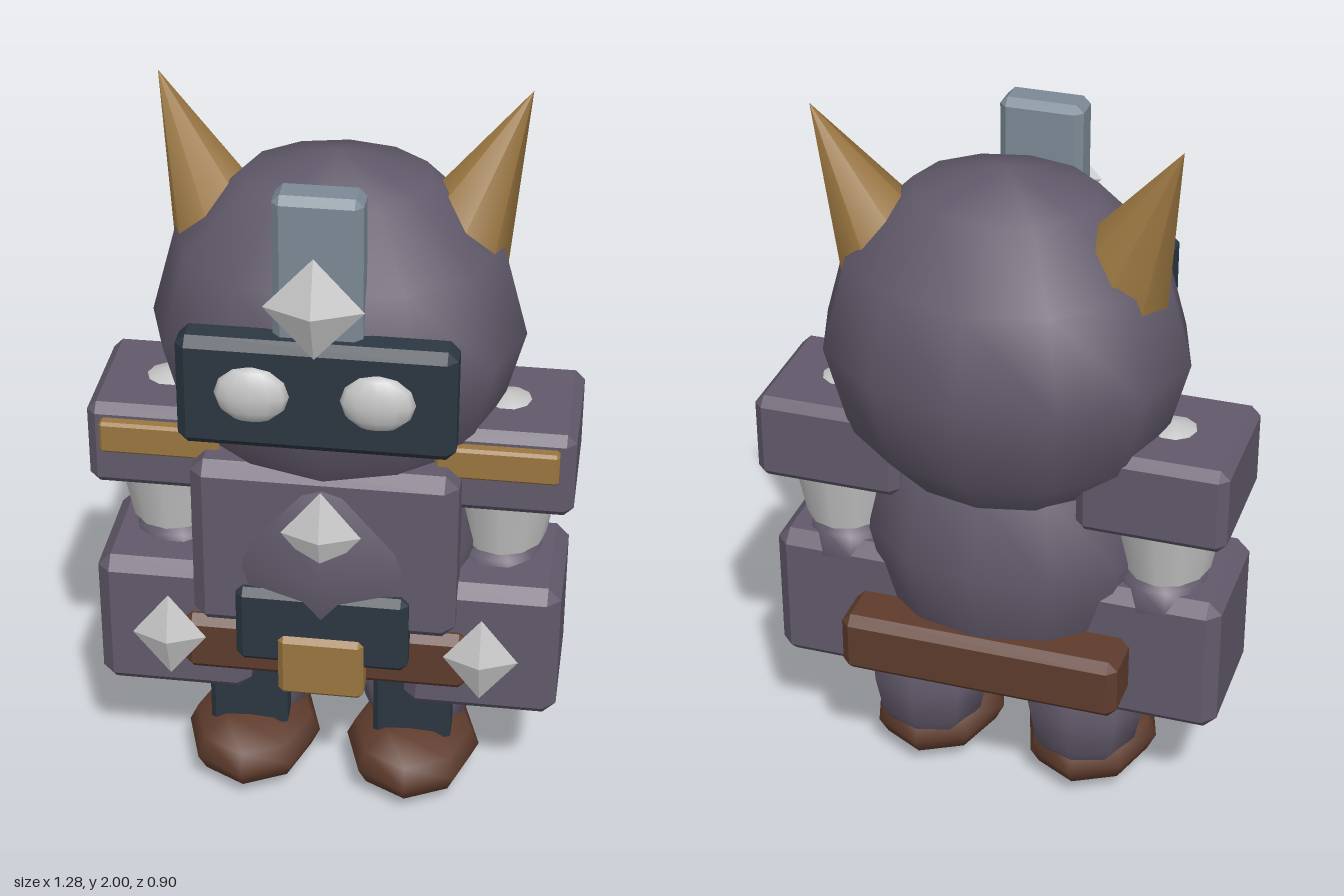
import * as THREE from 'three';
import { ConvexGeometry } from 'three/addons/geometries/ConvexGeometry.js';

export function createModel() {
  const model = new THREE.Group();
  model.name = 'hornedFigure';
  const material = (name, color) => {
    const m = new THREE.MeshStandardMaterial({ color });
    m.name = name;
    return m;
  };
  const purple = material('dusky purple', 0x625a6b);
  const gold = material('old gold', 0x9a7640);
  const brown = material('leather brown', 0x5f3c2d);
  const dark = material('dark slate', 0x2c3742);
  const steel = material('blue steel', 0x7c8a96);
  const silver = material('silver', 0xc6c6c6);

  const add = (name, geometry, mat, x, y, z) => {
    const mesh = new THREE.Mesh(geometry, mat);
    mesh.name = name;
    mesh.position.set(x, y, z);
    model.add(mesh);
    return mesh;
  };

  // Box with chamfered edges and corners, given by its extents
  const block = (name, mat, [x0, x1], [y0, y1], [z0, z1], bevel = 0.02) => {
    const half = [(x1 - x0) / 2, (y1 - y0) / 2, (z1 - z0) / 2];
    const points = [];
    for (const sx of [-1, 1]) for (const sy of [-1, 1]) for (const sz of [-1, 1])
      for (let full = 0; full < 3; full++) {
        const d = half.map((h, i) => (i === full ? h : h - bevel));
        points.push(new THREE.Vector3(sx * d[0], sy * d[1], sz * d[2]));
      }
    return add(name, new ConvexGeometry(points), mat, (x0 + x1) / 2, (y0 + y1) / 2, (z0 + z1) / 2);
  };

  // Smooth ellipsoid with few sides
  const ball = (name, mat, [x, y, z], [rx, ry, rz], sides = 12, rings = 6) =>
    add(name, new THREE.SphereGeometry(1, sides, rings).scale(rx, ry, rz), mat, x, y, z);

  // Faceted stud
  const gem = (name, [x, y, z], [rx, ry, rz]) =>
    add(name, new THREE.OctahedronGeometry(1).scale(rx, ry, rz), silver, x, y, z);

  // Head, visor and crest
  ball('head', purple, [0, 1.37, -0.04], [0.49, 0.485, 0.41]);
  block('visor', dark, [-0.35, 0.35], [1.22, 1.525], [0.28, 0.388], 0.025);
  block('crest', steel, [-0.112, 0.112], [1.45, 1.9], [0.24, 0.345], 0.02);
  gem('crestGem', [0, 1.635, 0.397], [0.125, 0.137, 0.058]);

  // Torso
  ball('body', purple, [0, 0.79, 0], [0.4, 0.465, 0.325]);
  block('chestPlate', purple, [-0.35, 0.35], [0.59, 1.09], [0.1, 0.27], 0.035);
  gem('chestGem', [0, 0.92, 0.295], [0.105, 0.13, 0.045]);
  block('bellyPlate', dark, [-0.23, 0.23], [0.5, 0.73], [0.2, 0.3], 0.02);
  block('belt', brown, [-0.385, 0.385], [0.415, 0.59], [-0.315, 0.245], 0.025);
  block('buckle', gold, [-0.115, 0.115], [0.412, 0.596], [0.23, 0.315], 0.015);

  // Paired parts
  for (const s of [1, -1]) {
    const side = s > 0 ? 'left' : 'right';
    const span = (a, b) => (s > 0 ? [a, b] : [-b, -a]);

    ball(side + 'Eye', silver, [s * 0.157, 1.383, 0.385], [0.096, 0.078, 0.043], 12, 6);

    // Horn leaning outward and back
    const tip = new THREE.Vector3(s * 0.475, 2, -0.14);
    const base = new THREE.Vector3(s * 0.275, 1.55, -0.07);
    const axis = tip.clone().sub(base);
    const horn = add(side + 'Horn', new THREE.ConeGeometry(0.165, axis.length(), 8), gold,
      ...base.clone().lerp(tip, 0.5).toArray());
    horn.quaternion.setFromUnitVectors(new THREE.Vector3(0, 1, 0), axis.normalize());

    // Arm
    ball(side + 'Shoulder', silver, [s * 0.45, 1.04, -0.035], [0.15, 0.155, 0.15], 10, 6);
    add(side + 'Sleeve', new THREE.CylinderGeometry(0.16, 0.115, 0.24, 12).scale(1, 1, 1.15),
      silver, s * 0.45, 0.89, -0.035);
    block(side + 'Pauldron', purple, span(0.24, 0.64), [0.935, 1.178], [-0.228, 0.158], 0.025);
    block(side + 'PauldronTrim', gold, span(0.28, 0.6), [1.055, 1.145], [0.13, 0.19], 0.008);
    ball(side + 'Wrist', purple, [s * 0.44, 0.69, -0.035], [0.13, 0.11, 0.15], 10, 6);
    block(side + 'Gauntlet', purple, span(0.21, 0.623), [0.325, 0.73], [-0.175, 0.212], 0.035);
    gem(side + 'GauntletGem', [s * 0.42, 0.53, 0.245], [0.1, 0.127, 0.045]);

    // Leg
    ball(side + 'Leg', purple, [s * 0.225, 0.28, -0.045], [0.172, 0.23, 0.158], 8, 6);
    block(side + 'ShinPlate', dark, span(0.12, 0.335), [0.13, 0.375], [0.05, 0.138], 0.015);
    ball(side + 'Foot', brown, [s * 0.225, 0.104, 0.057], [0.186, 0.104, 0.24], 8, 6);
  }
  return model;
}
